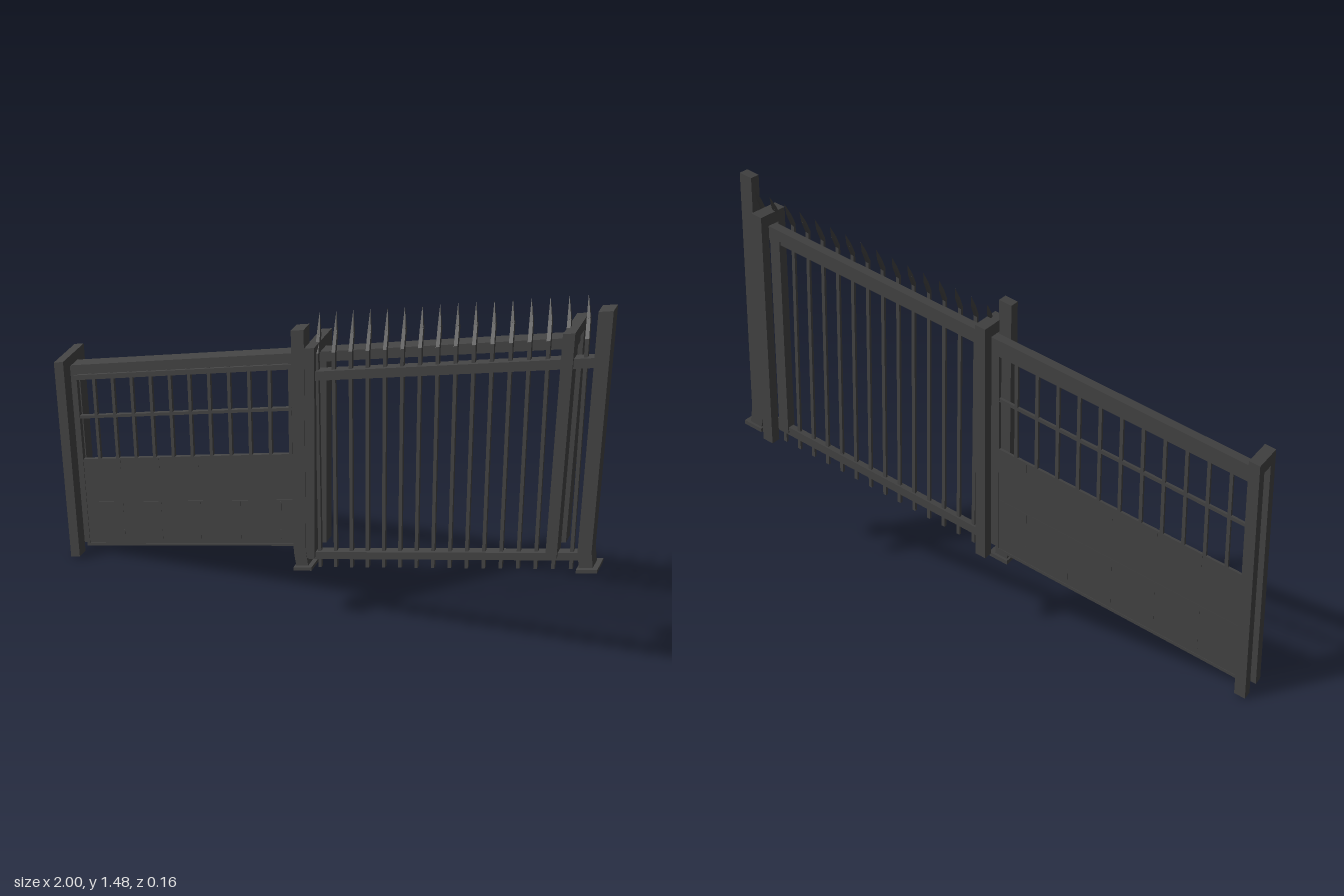
import * as THREE from 'three';

const SLOPE = 0.29; // everything is laid out level, then sheared up the hill
const material = new THREE.MeshStandardMaterial({ color: 0x444444, flatShading: true });

// Shear a level geometry so that it climbs towards +x
function climb(geometry) {
  const p = geometry.attributes.position;
  for (let i = 0; i < p.count; i++) p.setY(i, p.getY(i) + SLOPE * p.getX(i));
  geometry.computeVertexNormals();
  return geometry;
}

function add(group, name, geometry) {
  const mesh = new THREE.Mesh(climb(geometry), material);
  mesh.name = name;
  group.add(mesh);
}

// Box given by its limits; the top may lean sideways
function box(group, name, [x0, x1], [y0, y1], [z0, z1], lean = 0) {
  const g = new THREE.BoxGeometry(x1 - x0, y1 - y0, z1 - z0);
  const p = g.attributes.position;
  for (let i = 0; i < p.count; i++) if (p.getY(i) > 0) p.setX(i, p.getX(i) + lean);
  g.translate((x0 + x1) / 2, (y0 + y1) / 2, (z0 + z1) / 2);
  add(group, name, g);
}

// Four-sided tapering bar between two points
function strut(group, name, a, b, ra, rb) {
  const dir = b.clone().sub(a);
  const g = new THREE.CylinderGeometry(rb, ra, dir.length(), 4).toNonIndexed();
  g.rotateY(Math.PI / 4);
  g.applyQuaternion(new THREE.Quaternion().setFromUnitVectors(new THREE.Vector3(0, 1, 0), dir.normalize()));
  const mid = a.clone().add(b).multiplyScalar(0.5);
  g.translate(mid.x, mid.y, mid.z);
  add(group, name, g);
}

function part(parent, name) {
  const group = new THREE.Group();
  group.name = name;
  parent.add(group);
  return group;
}

export function createModel() {
  const model = new THREE.Group();
  model.name = 'slidingGateAndFence';

  // Three portal frames straddling the track
  for (const x of [-0.981, -0.02, 0.84]) {
    const portal = part(model, 'portalFrame');
    const w = [x - 0.019, x + 0.019];
    box(portal, 'frontUpright', w, [0.29, 1.13], [0.024, 0.066]);
    box(portal, 'backUpright', w, [0.29, 1.13], [-0.078, -0.035]);
    box(portal, 'topBeam', w, [1.09, 1.13], [-0.035, 0.024]);
  }

  // Overhead track
  box(model, 'overheadTrack', [-0.98, 0.85], [1.05, 1.088], [-0.032, 0.012]);

  // Sliding gate
  const gate = part(model, 'slidingGate');
  box(gate, 'solidPanel', [-0.965, -0.045], [0.303, 0.685], [-0.012, 0]);
  box(gate, 'bottomEdge', [-0.965, -0.045], [0.3, 0.31], [-0.015, 0.003]);
  box(gate, 'topRail', [-0.965, -0.045], [1.022, 1.042], [-0.016, 0.004]);
  box(gate, 'middleRod', [-0.965, -0.045], [0.859, 0.871], [-0.012, 0]);
  for (const x of [-0.965, -0.057]) box(gate, 'stile', [x, x + 0.012], [0.3, 1.05], [-0.014, 0.002]);
  for (let i = 0; i < 11; i++) {
    const x = -0.885 + i * 0.0765;
    box(gate, 'gateBar', [x - 0.006, x + 0.006], [0.68, 1.052], [-0.012, 0]);
  }
  // Panel seams
  box(gate, 'panelSeam', [-0.96, -0.05], [0.492, 0.496], [-0.0132, 0.0012]);
  for (let i = 0; i < 5; i++) {
    const x = -0.8 + i * 0.16;
    for (const y of [0.33, 0.45, 0.64])
      box(gate, 'panelSeam', [x - 0.002, x + 0.002], [y, y + 0.04], [-0.0132, 0.0012]);
  }

  // Fence posts with kicked feet and base plates
  const fence = part(model, 'fixedFence');
  for (const x of [-0.06, 0.947]) {
    const post = part(fence, 'fencePost');
    box(post, 'shaft', [x - 0.02, x + 0.026], [0.32, 1.2], [0.022, 0.068], -0.003);
    box(post, 'foot', [x - 0.01, x + 0.036], [0.25, 0.32], [0.022, 0.068], -0.01);
    box(post, 'basePlate', [x - 0.017, x + 0.053], [0.244, 0.258], [0.01, 0.08]);
  }
  box(fence, 'upperRail', [-0.05, 0.97], [1.002, 1.037], [0.03, 0.058]);
  box(fence, 'lowerRail', [-0.04, 0.955], [0.28, 0.31], [0.03, 0.058]);

  // Pickets with spikes bent over the track
  for (let i = 0; i < 16; i++) {
    const x = 0.012 + i * 0.0595, z = 0.044;
    const picket = part(fence, 'picket');
    box(picket, 'bar', [x - 0.006, x + 0.006], [0.24, 1.1], [z - 0.006, z + 0.006], -0.012);
    const elbow = new THREE.Vector3(x - 0.012, 1.095, z);
    const middle = new THREE.Vector3(x - 0.024, 1.147, z - 0.042);
    const tip = new THREE.Vector3(x - 0.045, 1.205, z - 0.095);
    strut(picket, 'spikeBase', elbow, middle, 0.009, 0.0085);
    strut(picket, 'spikeTip', middle, tip, 0.0085, 0.0005);
  }
  return model;
}
